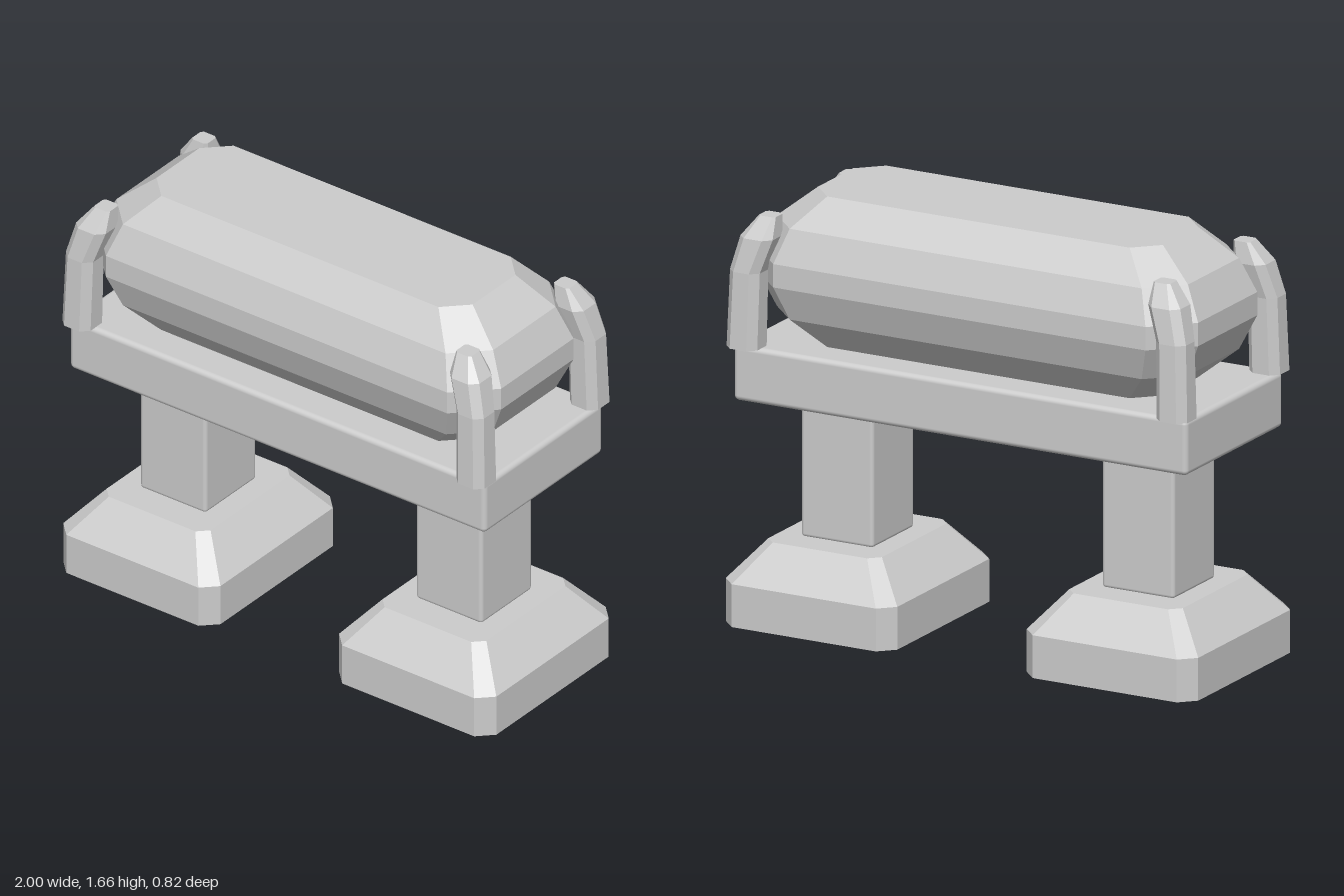
import * as THREE from 'three';
import { RoundedBoxGeometry } from 'three/addons/geometries/RoundedBoxGeometry.js';

const grey = new THREE.MeshStandardMaterial({ color: 0xcccccc });
grey.name = 'grey';

// Corners of a rectangle with cut corners, at one height
function ring({ y, x = 0, z = 0, hx, hz, cut }) {
  const a = hx - cut, b = hz - cut;
  return [[hx, -b], [hx, b], [a, hz], [-a, hz], [-hx, b], [-hx, -b], [-a, -hz], [a, -hz]]
    .map(([px, pz]) => [x + px, y, z + pz]);
}

// Faceted solid through a stack of sections, bottom to top
function loft(sections) {
  const rings = sections.map(ring);
  const last = rings.length - 1;
  const pos = [];
  const tri = (...corners) => corners.forEach((p) => pos.push(...p));
  for (let k = 0; k < last; k++) {
    for (let i = 0; i < 8; i++) {
      const j = (i + 1) % 8;
      const lo = rings[k], hi = rings[k + 1];
      tri(lo[i], hi[i], lo[j]);
      tri(lo[j], hi[i], hi[j]);
    }
  }
  for (let i = 1; i < 7; i++) {
    tri(rings[0][0], rings[0][i], rings[0][i + 1]);
    tri(rings[last][0], rings[last][i + 1], rings[last][i]);
  }
  const geometry = new THREE.BufferGeometry();
  geometry.setAttribute('position', new THREE.Float32BufferAttribute(pos, 3));
  geometry.computeVertexNormals();
  return geometry;
}

export function createModel() {
  const model = new THREE.Group();
  model.name = 'capsuleOnStand';
  const add = (name, geometry, x = 0, y = 0, z = 0) => {
    const mesh = new THREE.Mesh(geometry, grey);
    mesh.name = name;
    mesh.position.set(x, y, z);
    model.add(mesh);
  };

  // Feet and columns
  const foot = loft([
    { y: 0, hx: 0.363, hz: 0.4, cut: 0.058 },
    { y: 0.165, hx: 0.363, hz: 0.4, cut: 0.058 },
    { y: 0.31, hx: 0.24, hz: 0.28, cut: 0.04 },
  ]);
  const column = new RoundedBoxGeometry(0.305, 0.57, 0.31, 3, 0.015);
  for (const s of [-1, 1]) {
    add(s > 0 ? 'leftFoot' : 'rightFoot', foot, s * 0.637);
    add(s > 0 ? 'leftColumn' : 'rightColumn', column, s * 0.637, 0.59);
  }

  // Platform
  add('platform', new RoundedBoxGeometry(1.92, 0.215, 0.72, 3, 0.02), 0, 0.968);

  // Faceted capsule, symmetric about its middle height
  const half = [
    { d: 0.29, hx: 0.73, hz: 0.22, cut: 0.09 },
    { d: 0.175, hx: 0.87, hz: 0.315, cut: 0.125 },
    { d: 0.045, hx: 0.93, hz: 0.362, cut: 0.142 },
  ];
  add('capsule', loft([
    ...half.map((s) => ({ ...s, y: 1.367 - s.d })),
    ...half.map((s) => ({ ...s, y: 1.367 + s.d })).reverse(),
  ]));

  // Four claws bending inward over the capsule
  const claw = [
    { y: 1.075, x: 0.91, z: 0.345, hx: 0.065, hz: 0.065, cut: 0.03 },
    { y: 1.37, x: 0.902, z: 0.34, hx: 0.063, hz: 0.062, cut: 0.03 },
    { y: 1.5, x: 0.863, z: 0.317, hx: 0.068, hz: 0.067, cut: 0.03 },
    { y: 1.58, x: 0.835, z: 0.297, hx: 0.035, hz: 0.034, cut: 0.01 },
  ];
  for (const sx of [-1, 1]) {
    for (const sz of [-1, 1]) {
      const name = (sz > 0 ? 'front' : 'back') + (sx > 0 ? 'Left' : 'Right') + 'Claw';
      add(name, loft(claw.map((s) => ({ ...s, x: s.x * sx, z: s.z * sz }))));
    }
  }
  return model;
}
